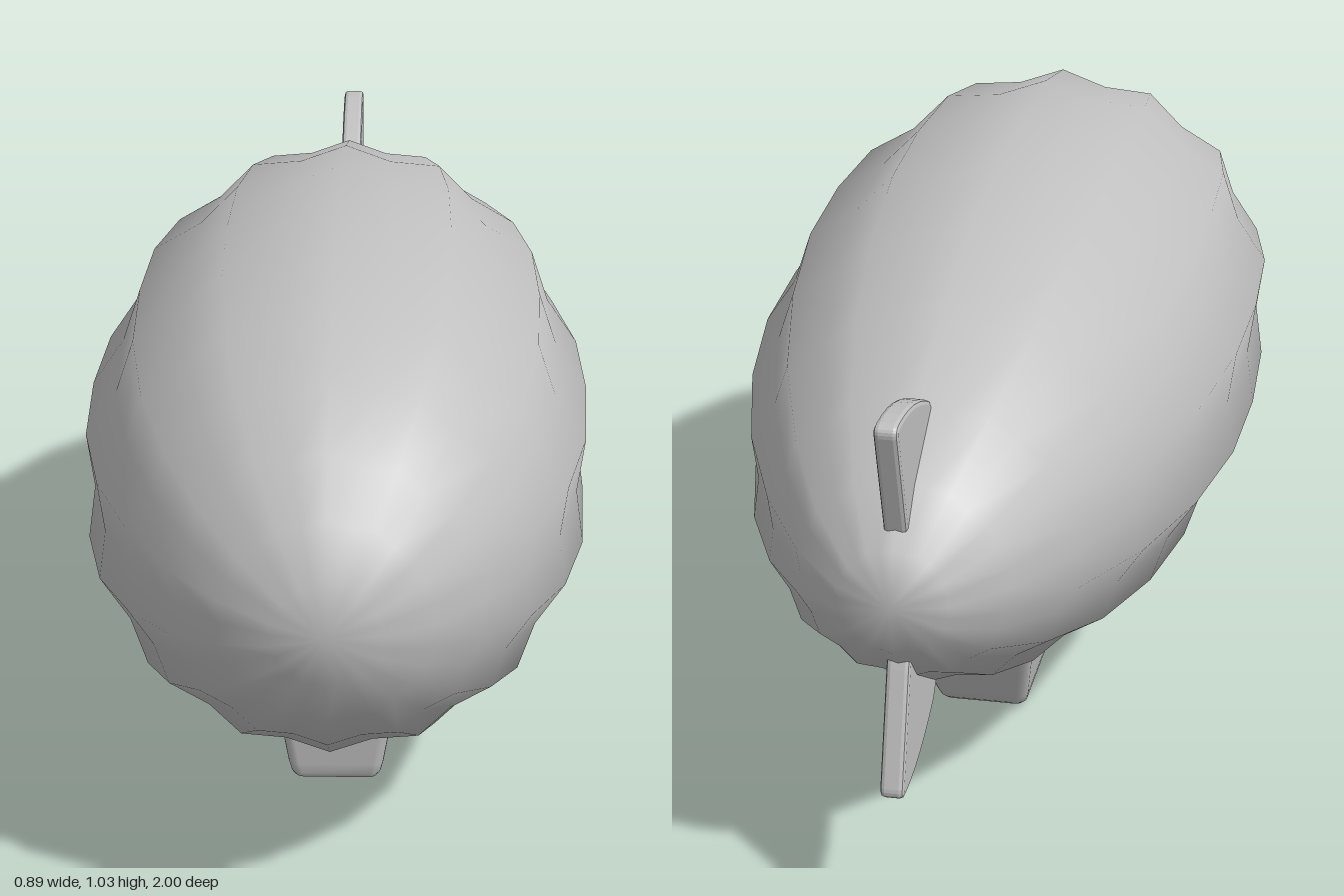
import * as THREE from 'three';

const CENTRE_Y = 0.586;

// Smooth closed skin: a start point, equal-length rings, and an end point.
function loft(start, rings, end) {
  const n = rings[0].length;
  const points = [start, ...rings.flat(), end];
  const last = points.length - 1;
  const index = [];
  const at = (i, j) => 1 + i * n + (j % n);
  for (let j = 0; j < n; j++) {
    index.push(0, at(0, j), at(0, j + 1));
    for (let i = 0; i < rings.length - 1; i++) {
      const a = at(i, j), b = at(i, j + 1), c = at(i + 1, j), d = at(i + 1, j + 1);
      index.push(a, c, b, b, c, d);
    }
    index.push(last, at(rings.length - 1, j + 1), at(rings.length - 1, j));
  }
  const geometry = new THREE.BufferGeometry().setFromPoints(points);
  geometry.setIndex(index);
  geometry.computeVertexNormals();
  return geometry;
}

// Envelope: 14 ridges with shallow valleys between them, swept nose to tail.
function envelopeGeometry() {
  const stations = [ // z, ridge radius
    [0.985, 0.09], [0.94, 0.178], [0.86, 0.262], [0.743, 0.338], [0.593, 0.4],
    [0.4, 0.438], [0.16, 0.449], [-0.08, 0.441], [-0.32, 0.405], [-0.553, 0.344],
    [-0.746, 0.264], [-0.885, 0.179], [-0.966, 0.093],
  ];
  const rings = stations.map(([z, radius]) => Array.from({ length: 28 }, (_, j) => {
    const a = Math.PI / 2 + (j / 28) * Math.PI * 2;
    const r = radius * (j % 2 ? 0.945 : 1);
    return new THREE.Vector3(Math.cos(a) * r * 1.022, CENTRE_Y + Math.sin(a) * r, z);
  }));
  return loft(new THREE.Vector3(0, CENTRE_Y, 1), rings, new THREE.Vector3(0, CENTRE_Y, -0.992));
}

// Rounded rectangle at height y, running counter-clockwise seen from above.
function roundedRing(y, halfWidth, front, back, radius) {
  const corners = [[1, 1, 0], [1, -1, 1], [-1, -1, 2], [-1, 1, 3]];
  return corners.flatMap(([sx, sz, quarter]) => Array.from({ length: 5 }, (_, k) => {
    const a = (quarter + k / 4) * Math.PI / 2;
    const cx = sx * (halfWidth - radius);
    const cz = sz > 0 ? front - radius : back + radius;
    return new THREE.Vector3(cx + Math.sin(a) * radius, y, cz + Math.cos(a) * radius);
  }));
}

// Gondola: tapered tub with a raked back and a softened bottom edge.
function gondolaGeometry() {
  const rings = [
    roundedRing(0.26, 0.123, 0.416, -0.378, 0.02),
    roundedRing(0.17, 0.109, 0.41, -0.335, 0.02),
    roundedRing(0.035, 0.087, 0.398, -0.264, 0.02),
    roundedRing(0.014, 0.082, 0.394, -0.249, 0.02),
    roundedRing(0.004, 0.075, 0.388, -0.235, 0.016),
    roundedRing(0, 0.065, 0.378, -0.22, 0.012),
    roundedRing(0, 0.055, 0.368, -0.21, 0.01),
  ];
  return loft(new THREE.Vector3(0, 0.26, 0), rings, new THREE.Vector3(0, 0, 0.08));
}

// Tail fin: swept leading edge, rounded tip; side is +1 above, -1 below.
function finGeometry(side, shift) {
  const shape = new THREE.Shape();
  const y = (v) => side * (v + shift);
  shape.moveTo(-0.68, y(0.18));
  shape.lineTo(-0.757, y(0.264));
  shape.quadraticCurveTo(-0.87, y(0.322), -0.978, y(0.321));
  shape.quadraticCurveTo(-1.003, y(0.321), -0.998, y(0.3));
  shape.lineTo(-0.94, y(0.11));
  shape.lineTo(-0.91, y(0.03));
  const geometry = new THREE.ExtrudeGeometry(shape, {
    depth: 0.024, bevelEnabled: true, bevelThickness: 0.008, bevelSize: 0.008,
    bevelOffset: -0.008, bevelSegments: 2, curveSegments: 6,
  });
  geometry.translate(0, 0, -0.012);
  geometry.rotateY(-Math.PI / 2); // shape x becomes model z
  geometry.translate(0, CENTRE_Y, 0);
  return geometry;
}

export function createModel() {
  const group = new THREE.Group();
  group.name = 'airship';
  const grey = new THREE.MeshStandardMaterial({ color: 0xc0c0c0 });
  grey.name = 'grey';

  const add = (name, geometry) => {
    const mesh = new THREE.Mesh(geometry, grey);
    mesh.name = name;
    group.add(mesh);
  };
  add('envelope', envelopeGeometry());
  add('gondola', gondolaGeometry());
  add('upperFin', finGeometry(1, 0));
  add('lowerFin', finGeometry(-1, 0.026));
  return group;
}
